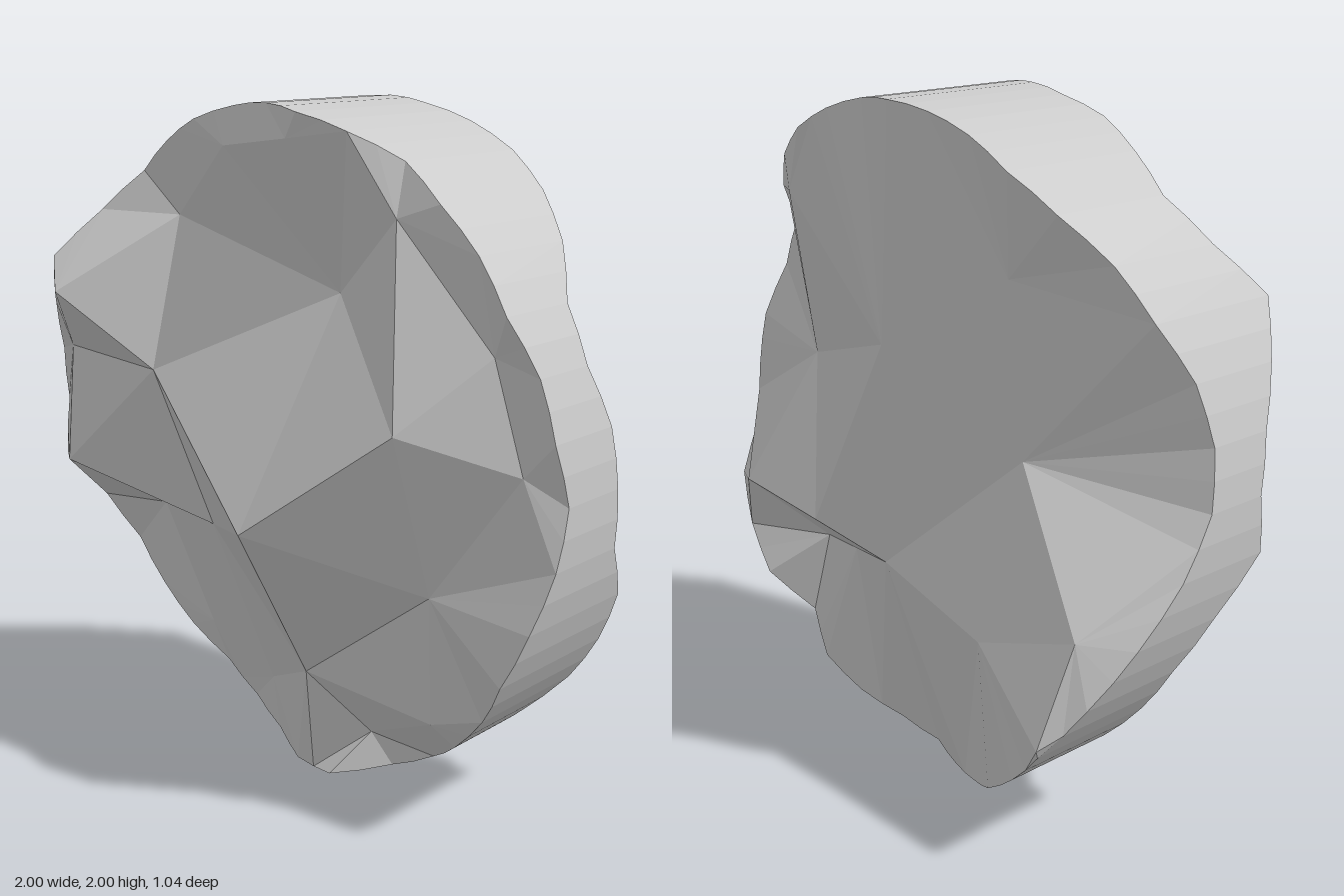
import * as THREE from 'three';

const STEPS = 72;

// Depth (z) of the rim's front and back edge, every 10 degrees from +x towards the top
const frontEdge = [
  0.22, 0.27, 0.28, 0.33, 0.31, 0.31, 0.27, 0.32, 0.33, 0.25, 0.19, 0.18,
  0.13, 0.085, 0.15, 0.27, 0.20, 0.13, 0.10, 0.13, 0.00, -0.08, -0.09, -0.10,
  -0.12, -0.08, 0.00, 0.12, 0.18, 0.09, 0.10, 0.20, 0.25, 0.32, 0.30, 0.25,
];
const backEdge = [
  -0.03, -0.01, 0.05, 0.04, -0.09, -0.18, -0.24, -0.26, -0.27, -0.33, -0.34, -0.35,
  -0.37, -0.33, -0.25, -0.20, -0.12, -0.09, -0.11, -0.20, -0.32, -0.43, -0.51, -0.48,
  -0.43, -0.33, -0.24, -0.15, -0.14, -0.17, -0.18, -0.11, -0.20, -0.19, -0.16, -0.05,
];

// Peaks and hollows of the two broken faces
const frontPeaks = [
  [-0.51, 1.17, 0.20], [0.12, 0.83, 0.52], [0.60, 1.17, 0.45], [0.18, 1.47, 0.14],
  [-0.49, 1.64, 0.09], [-0.20, 1.87, 0.21], [0.12, 1.91, 0.31], [0.51, 1.72, 0.32],
  [-0.80, 1.40, 0.33], [-0.93, 1.19, 0.14], [-0.88, 0.83, 0.22], [-0.62, 0.755, 0.16],
  [-0.36, 0.68, 0.10], [-0.73, 0.65, -0.07], [0.10, 0.33, 0.20], [0.61, 0.69, 0.29],
  [0.89, 1.07, 0.27], [0.80, 1.38, 0.28], [-0.20, 0.18, 0.00], [0.27, 0.15, 0.10],
  [0.60, 0.31, 0.26], [-0.54, 0.27, -0.09],
];
const backPeaks = [
  [0.10, 0.60, -0.27], [0.07, 1.29, -0.30], [-0.46, 1.57, -0.32], [-0.49, 1.065, -0.29],
  [-0.465, 0.57, -0.435], [-0.81, 0.67, -0.42], [-0.77, 0.38, -0.52], [0.43, 0.65, -0.27],
  [0.77, 0.70, -0.27], [0.58, 0.51, -0.09], [0.34, 0.555, -0.18], [0.57, 1.14, -0.13],
  [0.60, 1.66, -0.20],
];

// Points around the rim, with depths blended between the listed ones
function rimPoints(depths) {
  return Array.from({ length: STEPS }, (_, i) => {
    const a = (i / STEPS) * Math.PI * 2;
    const t = (i / STEPS) * depths.length;
    const k = Math.floor(t);
    const z = THREE.MathUtils.lerp(depths[k], depths[(k + 1) % depths.length], t - k);
    return [Math.cos(a), 1 + Math.sin(a), z];
  });
}

// Delaunay triangles in x and y, each turning counter-clockwise seen from +z
function triangulate(pts) {
  const tris = [];
  const n = pts.length;
  for (let i = 0; i < n; i++) for (let j = i + 1; j < n; j++) for (let k = j + 1; k < n; k++) {
    const [ax, ay] = pts[i];
    const bx = pts[j][0] - ax, by = pts[j][1] - ay;
    const cx = pts[k][0] - ax, cy = pts[k][1] - ay;
    const d = 2 * (bx * cy - by * cx);
    if (Math.abs(d) < 1e-9) continue;
    const b2 = bx * bx + by * by, c2 = cx * cx + cy * cy;
    const ux = (cy * b2 - by * c2) / d, uy = (bx * c2 - cx * b2) / d;
    const r2 = ux * ux + uy * uy - 1e-7;
    const empty = pts.every((p, m) => m === i || m === j || m === k ||
      (p[0] - ax - ux) ** 2 + (p[1] - ay - uy) ** 2 > r2);
    if (empty) tris.push(d > 0 ? [i, j, k] : [i, k, j]);
  }
  return tris;
}

function makeMesh(name, pts, tris) {
  const geometry = new THREE.BufferGeometry();
  geometry.setAttribute('position', new THREE.Float32BufferAttribute(pts.flat(), 3));
  geometry.setIndex(tris.flat());
  const flat = geometry.toNonIndexed();
  flat.computeVertexNormals();
  const mesh = new THREE.Mesh(flat, new THREE.MeshStandardMaterial({ color: 0xcccccc, flatShading: true }));
  mesh.name = name;
  return mesh;
}

export function createModel() {
  const group = new THREE.Group();
  group.name = 'rockDisc';
  const front = rimPoints(frontEdge);
  const back = rimPoints(backEdge);

  // Broken faces
  const frontPts = [...front, ...frontPeaks];
  const backPts = [...back, ...backPeaks];
  group.add(makeMesh('frontFace', frontPts, triangulate(frontPts)));
  group.add(makeMesh('backFace', backPts, triangulate(backPts).map(([a, b, c]) => [a, c, b])));

  // Round outer wall joining the two edges
  const wall = [];
  for (let i = 0; i < STEPS; i++) {
    const j = (i + 1) % STEPS;
    wall.push([i, STEPS + i, STEPS + j], [i, STEPS + j, j]);
  }
  group.add(makeMesh('outerWall', [...front, ...back], wall));
  return group;
}
